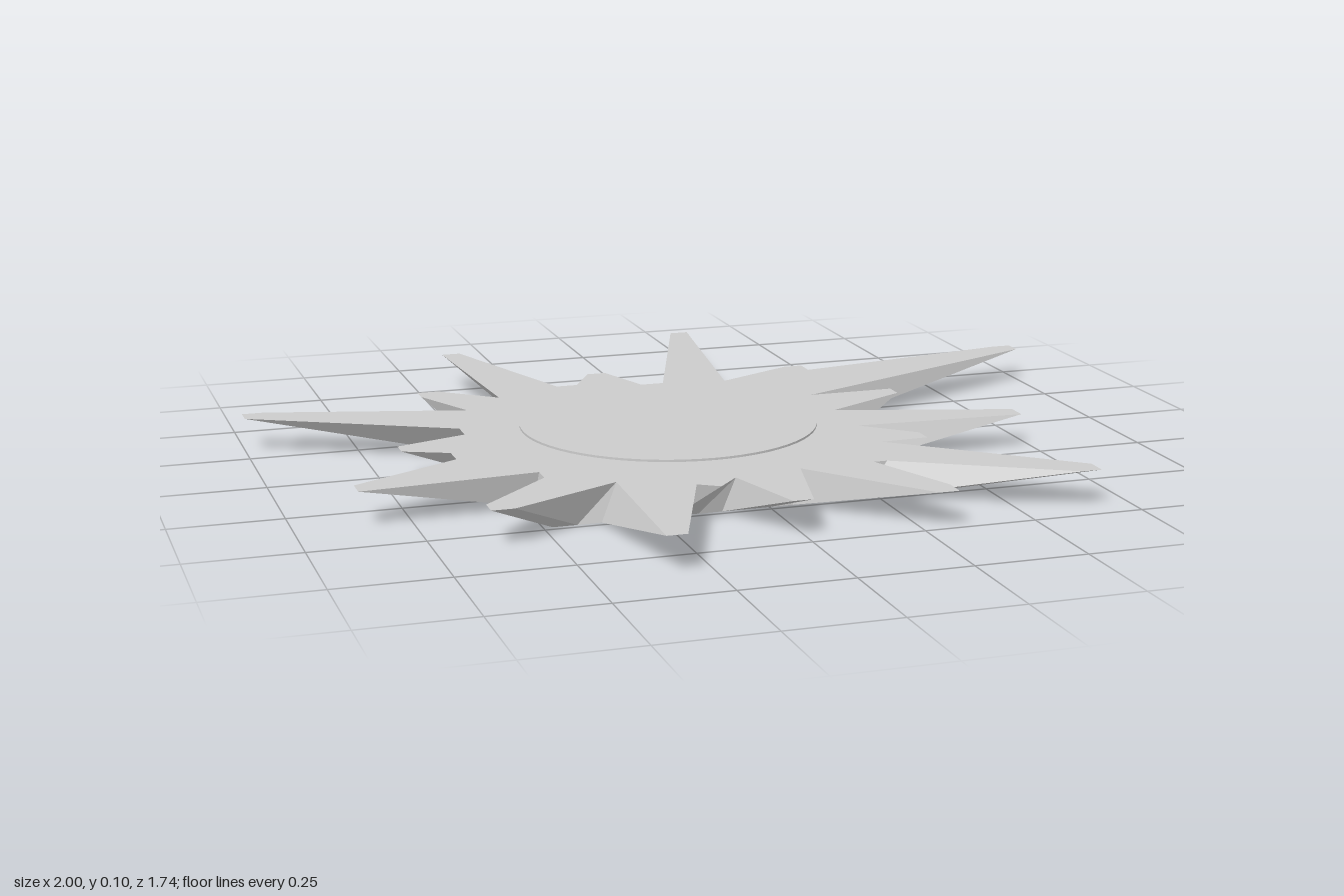
import * as THREE from 'three';

const TOP = 0.08; // height of the flat top
const MIN_X = -0.48, MAX_X = 0.32, MIN_Z = -0.315, MAX_Z = 0.485; // square foot
const STEPS = 15; // divisions along each side of the foot

// Jagged rim as [x, z], one list per side of the foot, each starting at its corner.
// A trailing 0 marks a point that shares the foot position of the point before it.
const rim = {
  back: [[-0.57, -0.43], [-0.52, -0.43], [-0.395, -0.325], [-0.425, -0.81], [-0.38, -0.81],
    [-0.235, -0.39], [-0.185, -0.39], [-0.13, -0.49], [-0.085, -0.49], [-0.035, -0.345],
    [0.02, -0.345], [0.205, -0.87], [0.25, -0.87], [0.17, -0.32], [0.36, -0.415]],
  left: [[0.405, -0.415], [0.405, -0.365], [0.95, -0.46], [0.995, -0.46, 0], [0.995, -0.415],
    [0.32, -0.12], [0.525, -0.12], [0.525, -0.075], [0.32, 0.035], [0.72, 0.155],
    [0.72, 0.205], [0.32, 0.185], [0.43, 0.285], [0.43, 0.33], [0.32, 0.335], [0.68, 0.645]],
  front: [[0.68, 0.695], [0.635, 0.695], [0.27, 0.485], [0.24, 0.485, 0], [0.325, 0.7],
    [0.325, 0.75, 0], [0.28, 0.75], [0.07, 0.485], [0.015, 0.715], [-0.03, 0.715],
    [-0.085, 0.51], [-0.135, 0.565], [-0.18, 0.535], [-0.305, 0.865], [-0.35, 0.865],
    [-0.335, 0.465], [-0.585, 0.59]],
  right: [[-0.635, 0.59], [-0.635, 0.545], [-0.47, 0.385], [-0.47, 0.34, 0], [-0.865, 0.37],
    [-0.865, 0.32], [-0.615, 0.185], [-0.615, 0.13], [-0.715, 0.085], [-0.715, 0.04],
    [-0.55, -0.015], [-0.55, -0.07], [-1, -0.31], [-1, -0.355], [-0.95, -0.355, 0],
    [-0.495, -0.23], [-0.57, -0.39]],
};

// Evenly spaced position along one side of the foot
function footPoint(side, t) {
  const x = THREE.MathUtils.lerp(MIN_X, MAX_X, t);
  const z = THREE.MathUtils.lerp(MIN_Z, MAX_Z, t);
  if (side === 'back') return [x, 0, MIN_Z];
  if (side === 'left') return [MAX_X, 0, z];
  if (side === 'front') return [MIN_X + MAX_X - x, 0, MAX_Z];
  return [MIN_X, 0, MIN_Z + MAX_Z - z];
}

export function createModel() {
  const group = new THREE.Group();
  const material = new THREE.MeshStandardMaterial({ color: 0xcccccc, flatShading: true });
  const add = (name, geometry, x = 0, y = 0, z = 0) => {
    const mesh = new THREE.Mesh(geometry, material);
    mesh.name = name;
    mesh.position.set(x, y, z);
    group.add(mesh);
  };

  // Pair every rim point with its foot point
  const pairs = [];
  for (const [side, points] of Object.entries(rim)) {
    let step = -1;
    for (const [x, z, advance = 1] of points) {
      step += advance;
      pairs.push({ top: [x, TOP, z], foot: footPoint(side, step / STEPS) });
    }
  }

  // Sloping undersides of the spikes
  const positions = [];
  pairs.forEach((a, i) => {
    const b = pairs[(i + 1) % pairs.length];
    positions.push(...a.top, ...b.top, ...b.foot);
    if (a.foot.some((v, k) => v !== b.foot[k])) positions.push(...a.top, ...b.foot, ...a.foot);
  });
  const sides = new THREE.BufferGeometry();
  sides.setAttribute('position', new THREE.Float32BufferAttribute(positions, 3));
  sides.computeVertexNormals();
  add('spikeSides', sides);

  // Flat spiky top
  const outline = new THREE.Shape(pairs.map(({ top }) => new THREE.Vector2(top[0], -top[2])));
  add('spikyTop', new THREE.ShapeGeometry(outline).rotateX(-Math.PI / 2), 0, TOP, 0);

  // Square foot
  const foot = new THREE.PlaneGeometry(MAX_X - MIN_X, MAX_Z - MIN_Z).rotateX(Math.PI / 2);
  add('squareFoot', foot, (MIN_X + MAX_X) / 2, 0, (MIN_Z + MAX_Z) / 2);

  // Thin disc hovering over the top
  add('disc', new THREE.CylinderGeometry(0.336, 0.336, 0.005, 64), -0.105, 0.102, 0.096);

  return group;
}
